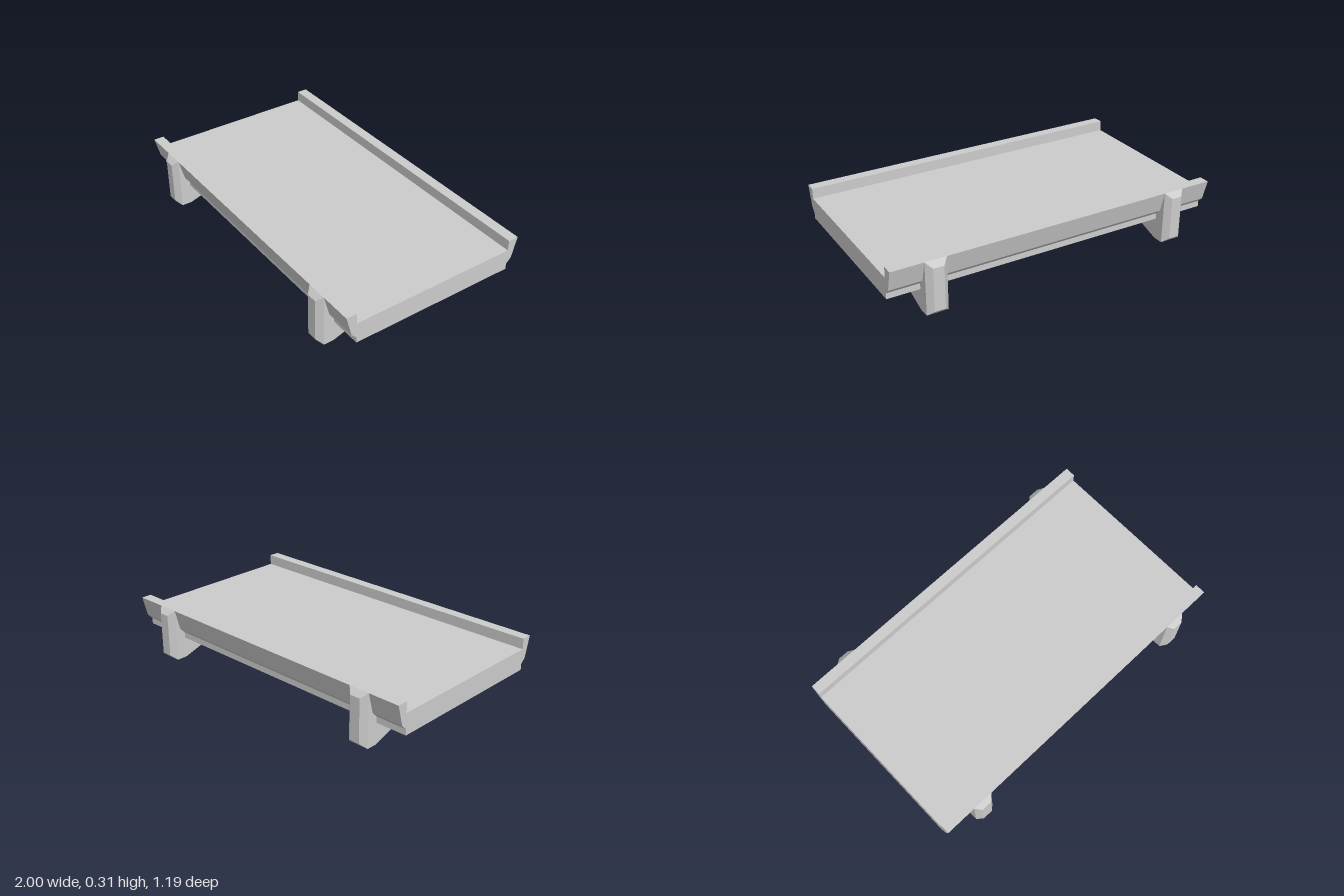
import * as THREE from 'three';

const material = new THREE.MeshStandardMaterial({ color: 0xcccccc, flatShading: true });

// Extrudes a [z, y] profile along x, centred on x = 0
function extrudeAlongX(profile, length) {
  const shape = new THREE.Shape(profile.map(([z, y]) => new THREE.Vector2(z, y)));
  const geometry = new THREE.ExtrudeGeometry(shape, { depth: length, bevelEnabled: false });
  return geometry.translate(0, 0, -length / 2).rotateY(-Math.PI / 2);
}

function namedMesh(name, geometry) {
  const mesh = new THREE.Mesh(geometry, material);
  mesh.name = name;
  return mesh;
}

// Bevelled outer plate of a leg: a box whose outer face is shrunk
function bevelledPlate(width, height, depth) {
  const geometry = new THREE.BoxGeometry(width, height, depth).toNonIndexed();
  const p = geometry.attributes.position;
  for (let i = 0; i < p.count; i++) {
    if (p.getZ(i) > 0) p.setXY(i, p.getX(i) * 0.5, p.getY(i) * 0.81);
  }
  geometry.computeVertexNormals();
  return geometry;
}

// One leg on the +z side, hugging the outside of the rim and reaching under the deck
function createLeg(name) {
  const leg = new THREE.Group();
  leg.name = name;
  const bracket = extrudeAlongX([
    [0.3125, 0.125], [0.3125, 0.0625], [0.5, 0], [0.5625, 0],
    [0.5625, 0.3125], [0.53, 0.19], [0.5, 0.16], [0.5, 0.125],
  ], 0.125);
  const plate = bevelledPlate(0.125, 0.3125, 0.0313).translate(0, 0.15625, 0.57815);
  leg.add(namedMesh('legBracket', bracket), namedMesh('legPlate', plate));
  return leg;
}

export function createModel() {
  const model = new THREE.Group();
  model.name = 'platform';

  // Deck with raised, flared rims along both long sides
  const half = [[0.5, 0.125], [0.5, 0.16], [0.53, 0.19], [0.5625, 0.3125], [0.5, 0.3125], [0.5, 0.25]];
  const mirrored = half.map(([z, y]) => [-z, y]).reverse();
  model.add(namedMesh('deck', extrudeAlongX([...half, ...mirrored], 2)));

  // Four legs, the back pair turned around
  for (const [sideName, x] of [['Left', 0.75], ['Right', -0.75]]) {
    for (const [endName, turn] of [['front', 0], ['back', Math.PI]]) {
      const leg = createLeg(`${endName}${sideName}Leg`);
      leg.position.x = x;
      leg.rotation.y = turn;
      model.add(leg);
    }
  }
  return model;
}
